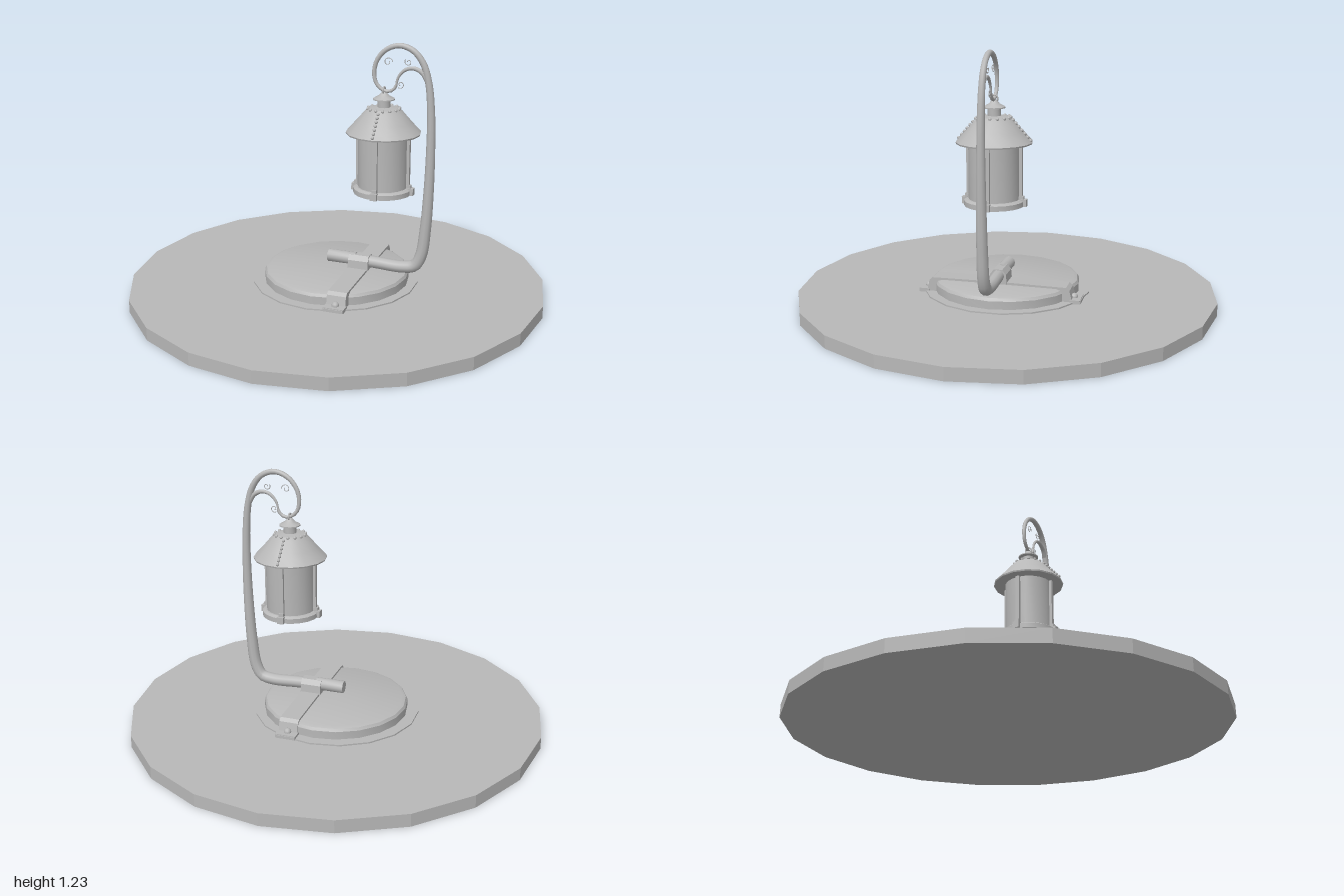
import * as THREE from 'three';
import { toCreasedNormals } from 'three/addons/utils/BufferGeometryUtils.js';

const grey = new THREE.MeshStandardMaterial({ color: 0xb8b8b8 });
grey.name = 'plain grey';

function add(parent, name, geometry, x = 0, y = 0, z = 0) {
  const mesh = new THREE.Mesh(geometry, grey);
  mesh.name = name;
  mesh.position.set(x, y, z);
  parent.add(mesh);
  return mesh;
}

// Turned part from [radius, height] pairs, listed bottom to top
function turned(points, sides) {
  const profile = points.map(([r, y]) => new THREE.Vector2(r, y));
  return toCreasedNormals(new THREE.LatheGeometry(profile, sides), 0.5);
}

// Tube along [x, y] points whose radius follows radiusAt(t), with capped ends
function taperedTube(points, radiusAt, steps, sides) {
  const curve = new THREE.CatmullRomCurve3(points.map(([x, y, z = 0]) => new THREE.Vector3(x, y, z)));
  const geo = new THREE.TubeGeometry(curve, steps, 1, sides);
  const pos = geo.attributes.position;
  const v = new THREE.Vector3();
  for (let i = 0; i < pos.count; i++) {
    const t = Math.floor(i / (sides + 1)) / steps;
    const centre = curve.getPointAt(t);
    v.fromBufferAttribute(pos, i).sub(centre).multiplyScalar(radiusAt(t)).add(centre);
    pos.setXYZ(i, v.x, v.y, v.z);
  }
  return geo;
}

// Band profile in (z, y), extruded along x about the origin
function band(points, width) {
  const shape = new THREE.Shape(points.map(([z, y]) => new THREE.Vector2(z, y)));
  const geo = new THREE.ExtrudeGeometry(shape, { depth: width, bevelEnabled: false });
  return geo.translate(0, 0, -width / 2).rotateY(-Math.PI / 2);
}

function buildBase(root) {
  const base = new THREE.Group();
  base.name = 'base';
  root.add(base);
  add(base, 'groundDisc', toCreasedNormals(new THREE.CylinderGeometry(1, 1, 0.06, 20), 0.2), 0, 0.03);
  add(base, 'thinPlate', toCreasedNormals(new THREE.CylinderGeometry(0.4, 0.4, 0.01, 18), 0.2), -0.005, 0.062);
  add(base, 'plinth', turned([[0, 0.055], [0.35, 0.055], [0.35, 0.105], [0.342, 0.118], [0.325, 0.125], [0, 0.127]], 20));

  // Strap over the plinth with a saddle over the pipe
  const half = [[0.39, 0.06], [0.39, 0.074], [0.348, 0.078], [0.338, 0.12], [0.322, 0.134], [0.045, 0.137]];
  const mirrored = half.map(([z, y]) => [-z, y]).reverse();
  add(base, 'strap', band([...half, ...mirrored], 0.092), 0.12);
  add(base, 'saddle', band([[0.042, 0.13], [0.038, 0.175], [0.02, 0.198], [-0.02, 0.198], [-0.038, 0.175], [-0.042, 0.13]], 0.1), 0.12);
  for (const side of [-1, 1]) {
    add(base, 'strapFoot', new THREE.BoxGeometry(0.1, 0.018, 0.05), 0.12, 0.069, side * 0.362);
    add(base, 'strapRivet', new THREE.SphereGeometry(0.018, 10, 6), 0.12, 0.08, side * 0.353);
  }
}

function buildPole(root) {
  const pole = new THREE.Group();
  pole.name = 'pole';
  root.add(pole);
  // Socket at the end of the pipe
  const socket = new THREE.CylinderGeometry(0.03, 0.03, 0.14, 12).rotateZ(Math.PI / 2);
  add(pole, 'pipeEnd', toCreasedNormals(socket, 0.6), 0.03, 0.172);
  // Pipe runs out along the plinth, rises and curls into the hook
  const path = [[0.06, 0.172], [0.2, 0.166], [0.33, 0.162], [0.39, 0.176], [0.42, 0.23], [0.438, 0.36], [0.449, 0.55],
    [0.453, 0.75], [0.45, 0.92], [0.437, 1.05], [0.41, 1.14], [0.365, 1.195], [0.3, 1.217], [0.235, 1.195],
    [0.193, 1.145], [0.18, 1.09], [0.19, 1.04], [0.222, 1.01], [0.25, 1.005], [0.275, 1.018], [0.287, 1.04]];
  const radius = (t) => (t < 0.2 ? 0.029 : THREE.MathUtils.lerp(0.029, 0.007, (t - 0.2) / 0.8));
  add(pole, 'hookedPole', taperedTube(path, radius, 90, 10));
  // Leaf-like brace from the pole to the hook tip
  const brace = [[0.432, 1.06], [0.405, 1.1], [0.365, 1.118], [0.325, 1.108], [0.295, 1.075], [0.284, 1.035]];
  add(pole, 'brace', taperedTube(brace, (t) => 0.013 - 0.008 * t, 24, 8));

  // Fine wire scrolls
  const scrolls = [[0.245, 1.14, 0.022, 0], [0.34, 1.145, 0.018, 2.5], [0.305, 1.04, 0.018, 4]];
  for (const [x, y, size, turn] of scrolls) {
    const pts = [];
    for (let i = 0; i <= 14; i++) {
      const a = turn + i * 0.5;
      const r = size * (1 - i / 19);
      pts.push([x + r * Math.cos(a), y + r * Math.sin(a)]);
    }
    add(pole, 'scroll', taperedTube(pts, () => 0.0018, 28, 4));
  }
}

function buildLantern(root) {
  const lantern = new THREE.Group();
  lantern.name = 'lantern';
  lantern.position.x = 0.228;
  root.add(lantern);

  add(lantern, 'lanternFoot', turned([[0, 0.525], [0.138, 0.525], [0.138, 0.548], [0.125, 0.556], [0, 0.556]], 20));
  add(lantern, 'glassBody', turned([[0.117, 0.55], [0.117, 0.815]], 20));
  add(lantern, 'roof', turned([[0, 0.808], [0.172, 0.808], [0.174, 0.815], [0.128, 0.865], [0.085, 0.915],
    [0.07, 0.927], [0.03, 0.932], [0.03, 0.967]], 16));
  add(lantern, 'roofCap', turned([[0, 0.962], [0.05, 0.966], [0.05, 0.971], [0.025, 0.985], [0.012, 1.0], [0, 1.003]], 14));
  add(lantern, 'hangingRing', new THREE.TorusGeometry(0.016, 0.004, 6, 14).rotateY(Math.PI / 2), 0, 1.008);

  // Corner posts and clips
  for (let i = 0; i < 4; i++) {
    const corner = new THREE.Group();
    corner.name = 'cornerPost';
    corner.rotation.y = (i * Math.PI) / 2;
    lantern.add(corner);
    add(corner, 'post', new THREE.BoxGeometry(0.02, 0.265, 0.018), 0, 0.68, 0.12);
    add(corner, 'clip', new THREE.BoxGeometry(0.032, 0.032, 0.026), 0, 0.541, 0.137);
    add(corner, 'clipTop', new THREE.BoxGeometry(0.022, 0.02, 0.022), 0, 0.562, 0.126);
  }

  // Rivets down the two roof seams and around the collar
  const bead = new THREE.SphereGeometry(0.008, 8, 6);
  for (const side of [-1, 1]) {
    for (let i = 0; i < 7; i++) {
      const t = i / 6;
      add(lantern, 'seamRivet', bead, 0, 0.825 + 0.09 * t, side * (0.166 - 0.08 * t));
    }
  }
  for (let i = 0; i < 14; i++) {
    const a = (i / 14) * Math.PI * 2;
    add(lantern, 'collarRivet', bead, 0.073 * Math.cos(a), 0.925, 0.073 * Math.sin(a));
  }
}

export function createModel() {
  const root = new THREE.Group();
  root.name = 'hangingLantern';
  buildBase(root);
  buildPole(root);
  buildLantern(root);
  return root;
}
